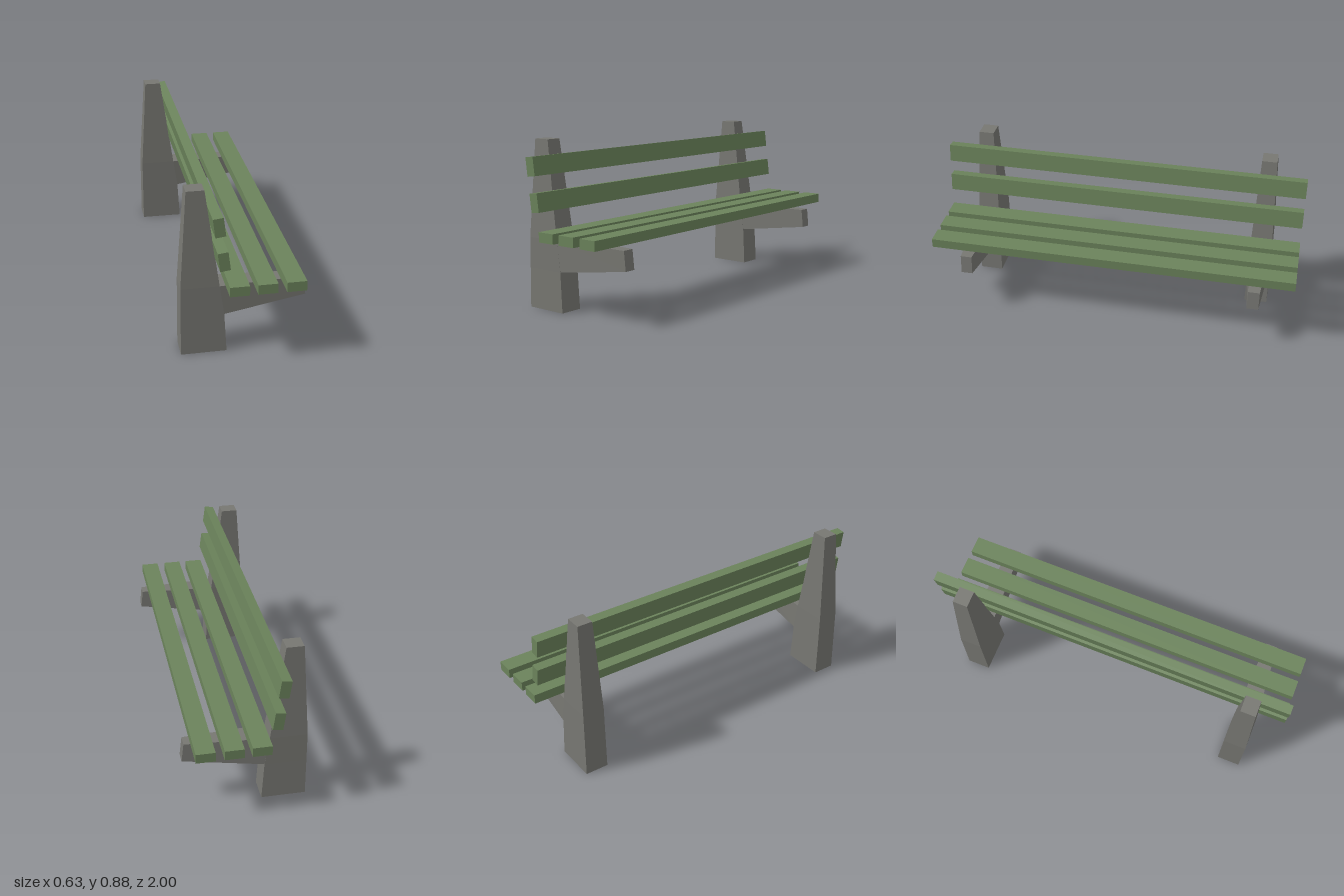
import * as THREE from 'three';

const concrete = new THREE.MeshStandardMaterial({ color: 0x777772 });
concrete.name = 'grey concrete';
const paintedWood = new THREE.MeshStandardMaterial({ color: 0x6b835b });
paintedWood.name = 'green painted wood';

// Closed, flat-faced solid through four-cornered sections (corners run
// counter-clockwise when seen from the far end).
function loft(sections) {
  const pos = [];
  const quad = (a, b, c, d) => pos.push(...a, ...b, ...c, ...a, ...c, ...d);
  for (let s = 0; s < sections.length - 1; s++) {
    const lo = sections[s], hi = sections[s + 1];
    for (let i = 0; i < 4; i++) {
      const j = (i + 1) % 4;
      quad(lo[i], lo[j], hi[j], hi[i]);
    }
  }
  const first = sections[0], last = sections[sections.length - 1];
  quad(first[3], first[2], first[1], first[0]);
  quad(...last);
  const geometry = new THREE.BufferGeometry();
  geometry.setAttribute('position', new THREE.Float32BufferAttribute(pos, 3));
  geometry.computeVertexNormals();
  return geometry;
}

// Horizontal section of the post: height, back x, front x, half width
const postSection = ([y, x0, x1, h]) => [[x0, y, h], [x1, y, h], [x1, y, -h], [x0, y, -h]];

// Section of the arm: bottom point, top point, half width
const armSection = ([xb, yb, xt, yt, h]) => [[xb, yb, h], [xb, yb, -h], [xt, yt, -h], [xt, yt, h]];

function mesh(name, geometry, material) {
  const m = new THREE.Mesh(geometry, material);
  m.name = name;
  return m;
}

export function createModel() {
  const bench = new THREE.Group();
  bench.name = 'bench';

  // Two concrete supports: a tapering post with a cantilevered arm
  const postGeometry = loft([
    [0, -0.318, -0.088, 0.063],
    [0.21, -0.317, -0.1, 0.061],
    [0.368, -0.316, -0.123, 0.06],
    [0.875, -0.282, -0.193, 0.041],
  ].map(postSection));
  const armGeometry = loft([
    [-0.1, 0.21, -0.123, 0.368, 0.06],
    [0.316, 0.266, 0.305, 0.368, 0.031],
  ].map(armSection));
  for (const [name, z] of [['leftSupport', -0.788], ['rightSupport', 0.798]]) {
    const support = new THREE.Group();
    support.name = name;
    support.position.z = z;
    support.add(mesh('post', postGeometry, concrete), mesh('seatArm', armGeometry, concrete));
    bench.add(support);
  }

  // Seat slats
  const seatGeometry = new THREE.BoxGeometry(0.097, 0.051, 2);
  [-0.0515, 0.0855, 0.2265].forEach((x, i) => {
    const slat = mesh(`seatSlat${i + 1}`, seatGeometry, paintedWood);
    slat.position.set(x, 0.4115, 0);
    bench.add(slat);
  });

  // Backrest slats, leaning with the posts
  const backGeometry = new THREE.BoxGeometry(0.051, 0.096, 2);
  [[-0.151, 0.755], [-0.128, 0.577]].forEach(([x, y], i) => {
    const slat = mesh(`backSlat${i + 1}`, backGeometry, paintedWood);
    slat.position.set(x, y, 0);
    slat.rotation.z = 0.128;
    bench.add(slat);
  });

  return bench;
}
